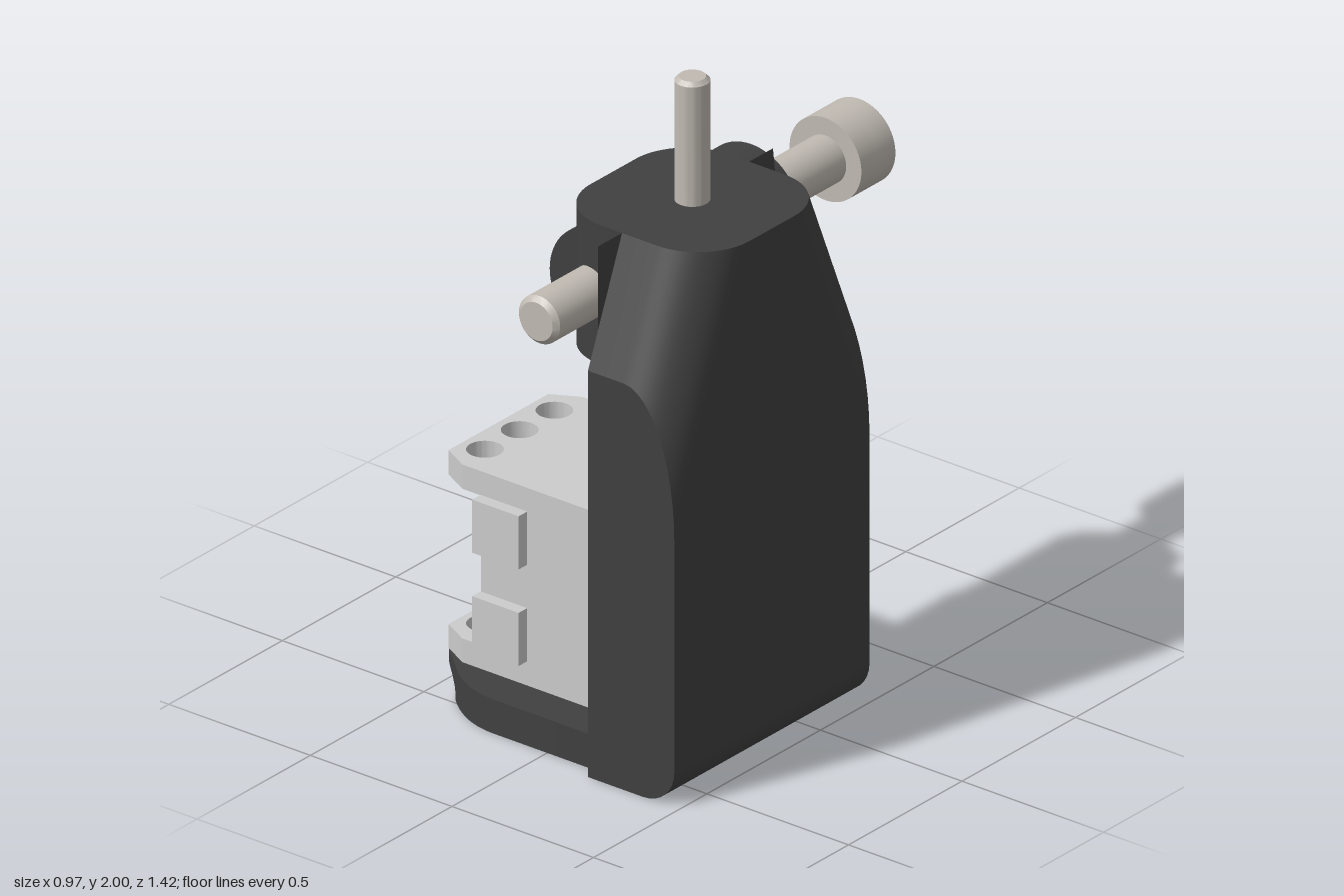
import * as THREE from 'three';
import { toCreasedNormals } from 'three/addons/utils/BufferGeometryUtils.js';

const ZC = 0.195; // depth of the centre plane
const INNER = 0.18, OUTER = 0.485; // x range of the housing wall
const mat = (color) => new THREE.MeshStandardMaterial({ color, side: THREE.DoubleSide });
const dark = mat(0x404040), black = mat(0x2a2a2a), grey = mat(0xcccccc), steel = mat(0xc0bab2);

function add(parent, name, geometry, material, x = 0, y = 0, z = 0) {
  const mesh = new THREE.Mesh(geometry, material);
  mesh.name = name;
  mesh.position.set(x, y, z);
  parent.add(mesh);
  return mesh;
}

// Extrudes an (x, z) outline upward from y0 to y1
function slab(shape, y0, y1, steps = 1) {
  const g = new THREE.ExtrudeGeometry(shape, { depth: y1 - y0, steps, bevelEnabled: false, curveSegments: 24 });
  return g.rotateX(Math.PI / 2).translate(0, y1, 0);
}

function hole(shape, x, y, r) {
  shape.holes.push(new THREE.Path().absarc(x, y, r, 0, Math.PI * 2, true));
}

// Inset of the rounded bottom edge at height y
const bottomInset = (y, r) => (y >= r ? 0 : r - Math.sqrt(r * r - (r - y) ** 2));

// Housing wall: horizontal cross-sections with a tapered top and an inner pocket
function wallGeometry() {
  const K = 12, r = 0.18, halfMax = 0.43, slope = 0.41, top = 1.62;
  const angle = (k) => (k / K) * Math.PI / 2;
  const drop = (k) => r * (1 - Math.cos(angle(k)));
  const meetY = (k) => top - (halfMax + drop(k) - 0.28) / slope;

  const ring = (y, pocket) => {
    const half = 0.28 + (top - y) * slope;
    const xMax = OUTER - bottomInset(y, 0.11);
    const side = [[INNER, Math.min(halfMax, half)]];
    for (let k = 0; k <= K; k++) {
      const x = OUTER - r + r * Math.sin(angle(k));
      side.push([Math.min(x, xMax), Math.min(halfMax, half - drop(k))]);
    }
    const inner = [[INNER, 0.385]];
    for (let k = 0; k <= 6; k++) {
      const a = (k / 6) * Math.PI / 2;
      inner.push([pocket ? 0.295 + 0.15 * Math.sin(a) : INNER, 0.235 + 0.15 * Math.cos(a)]);
    }
    const flip = (list) => list.map(([x, z]) => [x, -z]);
    return [...side, ...flip(side).reverse(), ...flip(inner), ...inner.reverse()]
      .map(([x, z]) => new THREE.Vector3(x, y, z + ZC));
  };

  const rows = [];
  for (let i = 0; i <= 8; i++) rows.push(ring(0.11 * (1 - Math.cos((i / 8) * Math.PI / 2)), false));
  rows.push(ring(0.11, true));
  for (let k = K; k >= 0; k--) {
    rows.push(ring(meetY(k), k >= 5));
    if (k === 5) rows.push(ring(meetY(k), false));
  }
  rows.push(ring(top, false));

  const pos = [], tri = new THREE.Triangle();
  const face = (a, b, c) => {
    if (tri.set(a, b, c).getArea() > 1e-8) for (const p of [a, b, c]) pos.push(p.x, p.y, p.z);
  };
  for (let i = 0; i + 1 < rows.length; i++) {
    const n = rows[i].length;
    for (let j = 0; j < n; j++) {
      const m = (j + 1) % n;
      const a = rows[i][j], b = rows[i][m], c = rows[i + 1][j], d = rows[i + 1][m];
      if (j <= K) { face(a, b, c); face(b, d, c); } else { face(a, b, d); face(a, d, c); }
    }
  }
  const first = rows[0], last = rows[rows.length - 1];
  for (let j = 1; j + 1 < 2 * (K + 2); j++) {
    face(last[0], last[j], last[j + 1]);
    face(first[0], first[j + 1], first[j]);
  }
  const g = new THREE.BufferGeometry();
  g.setAttribute('position', new THREE.Float32BufferAttribute(pos, 3));
  return toCreasedNormals(g, 0.3);
}

// Base plate with curved corners and a rounded lower left end
function baseGeometry() {
  const s = new THREE.Shape();
  s.moveTo(INNER, -0.385);
  s.lineTo(INNER, 0.385);
  s.lineTo(-0.19, 0.385);
  s.quadraticCurveTo(-0.3, 0.385, -0.4, 0.29);
  s.lineTo(-0.48, 0.22);
  s.lineTo(-0.48, -0.22);
  s.lineTo(-0.4, -0.29);
  s.quadraticCurveTo(-0.3, -0.385, -0.19, -0.385);
  const g = slab(s, 0, 0.105, 10), p = g.attributes.position;
  for (let i = 0; i < p.count; i++) {
    p.setX(i, Math.max(p.getX(i), -0.48 + bottomInset(Math.max(0, p.getY(i)), 0.08)));
  }
  return toCreasedNormals(g, 0.4);
}

// Mounting flange with clipped corners and three holes
function flangeGeometry(y0, y1) {
  const s = new THREE.Shape([[0.43, -0.265], [0.43, 0.265], [-0.4, 0.265], [-0.485, 0.22],
    [-0.485, -0.22], [-0.4, -0.265]].map(([x, z]) => new THREE.Vector2(x, z)));
  for (const z of [-0.153, 0, 0.153]) hole(s, -0.41, z, 0.052);
  return toCreasedNormals(slab(s, y0, y1), 0.4);
}

// Shaft along y with a chamfered end at the top
function shaft(r, length, c) {
  const pts = [[0, 0], [r, 0], [r, length - c], [r - c, length], [0, length]];
  const g = new THREE.LatheGeometry(pts.map(([x, y]) => new THREE.Vector2(x, y)), 40);
  return toCreasedNormals(g, 0.4);
}

export function createModel() {
  const model = new THREE.Group();

  // Housing
  const housing = new THREE.Group();
  housing.name = 'housing';
  model.add(housing);
  add(housing, 'wall', wallGeometry(), dark);
  add(housing, 'basePlate', baseGeometry(), dark, 0, 0, ZC);
  const block = new THREE.Shape();
  block.moveTo(INNER, -0.28);
  block.lineTo(INNER, 0.28);
  block.lineTo(0.105, 0.28);
  block.absarc(0.105, 0.1, 0.18, Math.PI / 2, Math.PI, false);
  block.absarc(0.105, -0.1, 0.18, Math.PI, Math.PI * 1.5, false);
  add(housing, 'topBlock', toCreasedNormals(slab(block, 1.19, 1.62), 0.4), dark, 0, 0, ZC);
  add(housing, 'screwSleeve', new THREE.CylinderGeometry(0.175, 0.175, 0.67, 64).rotateX(Math.PI / 2),
    dark, 0.065, 1.403, 0.097);

  // Motor
  const motor = new THREE.Group();
  motor.name = 'motor';
  motor.position.z = ZC - 0.005;
  model.add(motor);
  add(motor, 'motorBody', new THREE.BoxGeometry(0.755, 0.47, 0.53), grey, 0.0425, 0.41, 0);
  add(motor, 'lowerFlange', flangeGeometry(0.105, 0.178), grey);
  add(motor, 'upperFlange', flangeGeometry(0.64, 0.715), grey);
  for (const x of [-0.253, 0.218]) {
    for (const y of [0.262, 0.56]) {
      for (const side of [-1, 1]) {
        add(motor, 'sideClip', new THREE.BoxGeometry(0.164, 0.164, 0.05), grey, x, y, side * 0.278);
      }
    }
  }

  // Coupling
  const coupling = new THREE.Group();
  coupling.name = 'coupling';
  coupling.position.set(0.2, 0, ZC - 0.005);
  model.add(coupling);
  add(coupling, 'couplingDisc', new THREE.CylinderGeometry(0.22, 0.22, 0.08, 48), black, 0, 0.755, 0);
  add(coupling, 'couplingCollar', new THREE.CylinderGeometry(0.213, 0.213, 0.04, 48), dark, 0, 0.813, 0);
  const hub = new THREE.Shape(), a = Math.asin(0.15 / 0.19);
  hub.absarc(0, 0, 0.19, -a, a, false);
  hub.absarc(0, 0, 0.19, Math.PI - a, Math.PI + a, false);
  hole(hub, 0, 0, 0.09);
  add(coupling, 'couplingHub', toCreasedNormals(slab(hub, 0.83, 0.985), 0.4), dark);
  add(coupling, 'verticalShaft', shaft(0.05, 1.2, 0.012), steel, 0, 0.8, 0);

  // Cross screw with a hexagonal socket
  const screw = new THREE.Group();
  screw.name = 'crossScrew';
  screw.position.set(0.065, 1.403, 0);
  model.add(screw);
  add(screw, 'screwShank', shaft(0.073, 1.29, 0.015).rotateX(Math.PI / 2), steel, 0, 0, -0.58);
  add(screw, 'screwHeadBase', new THREE.CylinderGeometry(0.127, 0.127, 0.07, 48).rotateX(Math.PI / 2),
    steel, 0, 0, -0.6);
  const rim = new THREE.Shape().absarc(0, 0, 0.127, 0, Math.PI * 2, false);
  const hex = [];
  for (let i = 0; i < 6; i++) {
    hex.push(new THREE.Vector2(0.072 * Math.cos(-i * Math.PI / 3), 0.072 * Math.sin(-i * Math.PI / 3)));
  }
  rim.holes.push(new THREE.Path(hex));
  const rimGeometry = new THREE.ExtrudeGeometry(rim, { depth: 0.08, bevelEnabled: false, curveSegments: 24 });
  add(screw, 'screwHeadRim', toCreasedNormals(rimGeometry, 0.4), steel, 0, 0, -0.715);

  return model;
}
